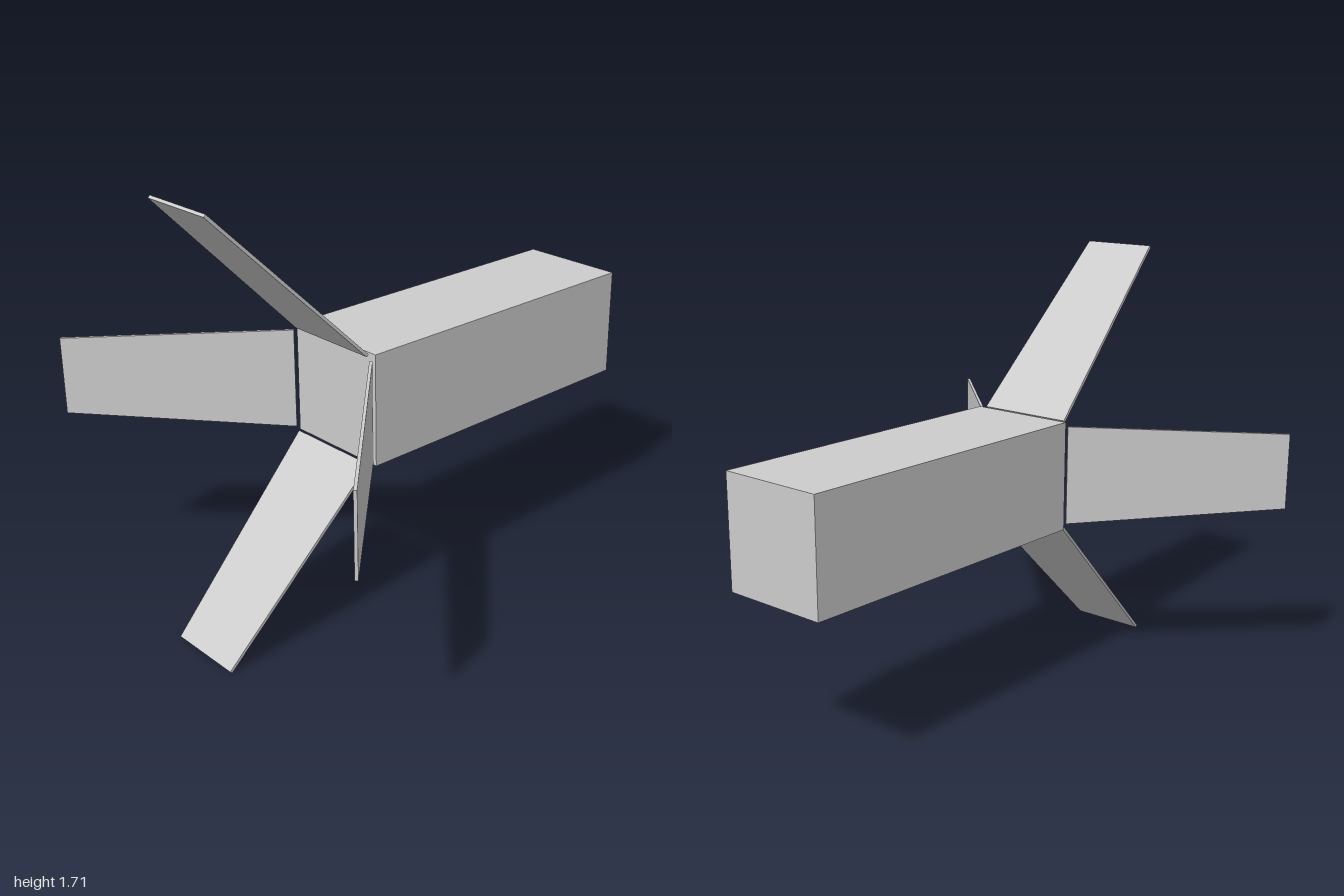
import * as THREE from 'three';

export function createModel() {
  const model = new THREE.Group();
  const grey = new THREE.MeshStandardMaterial({ color: 0xcccccc });
  grey.name = 'light grey';
  const centreY = 0.857;

  // Long square body
  const body = new THREE.Mesh(new THREE.BoxGeometry(1.343, 0.444, 0.444), grey);
  body.name = 'body';
  body.position.set(0.3285, centreY, 0);
  model.add(body);

  // Thin panel, hinged at its inner end and tapering outwards along -x
  const length = 0.898;
  const panelGeometry = new THREE.BoxGeometry(length, 0.012, 0.402);
  panelGeometry.translate(-length / 2, 0, 0);
  const p = panelGeometry.attributes.position;
  for (let i = 0; i < p.count; i++) {
    if (p.getX(i) < -length / 2) p.setZ(i, p.getZ(i) * 0.776);
  }
  panelGeometry.computeVertexNormals();

  // Four panels splayed at 45 degrees around the rear end
  ['topPanel', 'frontPanel', 'bottomPanel', 'backPanel'].forEach((name, i) => {
    const pivot = new THREE.Group();
    pivot.name = name;
    pivot.position.y = centreY;
    pivot.rotation.x = i * Math.PI / 2;
    const panel = new THREE.Mesh(panelGeometry, grey);
    panel.name = name + 'Blade';
    panel.position.set(-0.361, 0.218, 0);
    panel.rotation.z = -Math.PI / 4;
    pivot.add(panel);
    model.add(pivot);
  });

  return model;
}
